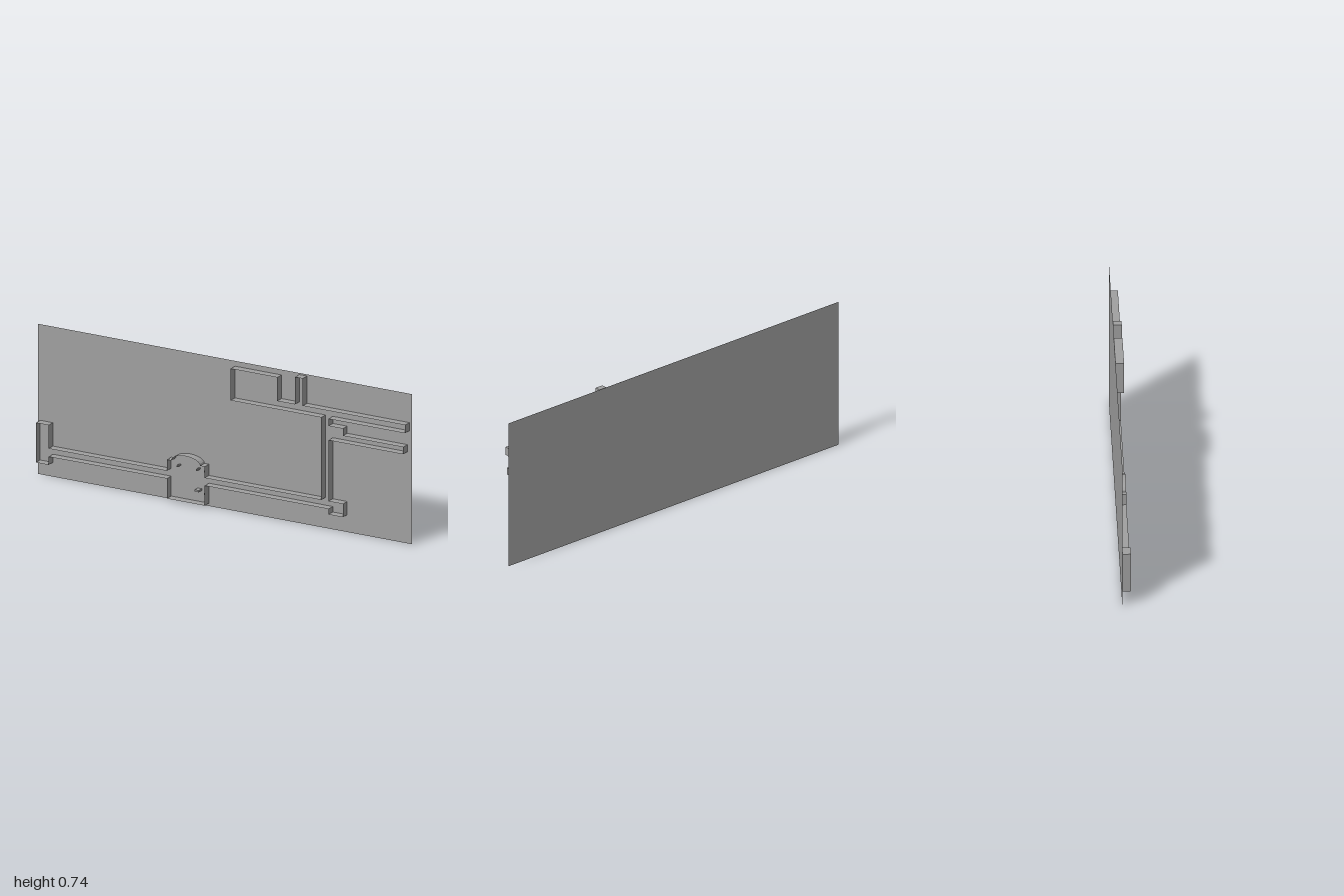
import * as THREE from 'three';

const DEPTH = 0.0205; // half the wall depth

// Walls standing out from the board along a closed outline
function ribbon(points) {
  const pos = [];
  points.forEach(([x0, y0], i) => {
    const [x1, y1] = points[(i + 1) % points.length];
    const a = [x0, y0, -DEPTH], b = [x1, y1, -DEPTH];
    const c = [x1, y1, DEPTH], d = [x0, y0, DEPTH];
    pos.push(...a, ...b, ...c, ...a, ...c, ...d);
  });
  const geo = new THREE.BufferGeometry();
  geo.setAttribute('position', new THREE.Float32BufferAttribute(pos, 3));
  geo.computeVertexNormals();
  return geo;
}

export function createModel() {
  const group = new THREE.Group();
  const grey = new THREE.MeshStandardMaterial({ color: 0xa0a0a0, side: THREE.DoubleSide, flatShading: true });
  grey.name = 'plain grey';
  const add = (name, geo, x = 0, y = 0, z = 0) => {
    const mesh = new THREE.Mesh(geo, grey);
    mesh.name = name;
    mesh.position.set(x, y, z);
    group.add(mesh);
  };

  // Flat backing sheet
  add('backBoard', new THREE.PlaneGeometry(2, 0.737), 0, 0.3685, -DEPTH);

  // Shallow dome over the hall, left to right
  const dome = [];
  for (let i = 0; i <= 12; i++) {
    const t = Math.PI * (1 - i / 12);
    dome.push([-0.187 + 0.077 * Math.cos(t), 0.205 + 0.034 * Math.sin(t)]);
  }

  // Rooms and corridors share one continuous wall
  add('corridorWalls', ribbon([
    // end room and left corridor, upper side
    [-0.92, 0.11], [-0.92, 0.07], [-0.988, 0.07], [-0.988, 0.265], [-0.92, 0.265], [-0.92, 0.15],
    // domed hall
    [-0.288, 0.15], [-0.288, 0.205], ...dome, [-0.086, 0.205], [-0.086, 0.15],
    // rising corridor and upper rooms
    [0.537, 0.15], [0.537, 0.555], [0.053, 0.555], [0.053, 0.711], [0.302, 0.711], [0.302, 0.595],
    [0.397, 0.595], [0.397, 0.729], [0.438, 0.729], [0.438, 0.595], [0.985, 0.595], [0.985, 0.555],
    // lower branch
    [0.576, 0.555], [0.576, 0.52], [0.653, 0.52], [0.653, 0.485], [0.975, 0.485], [0.975, 0.45], [0.576, 0.45],
    // corner room and return along the lower side
    [0.576, 0.15], [0.653, 0.15], [0.653, 0.085], [0.576, 0.085], [0.576, 0.112],
    [-0.086, 0.112], [-0.086, 0.014], [-0.288, 0.014], [-0.288, 0.112],
  ]));

  // Small posts and ledges inside the hall
  [[-0.24, 0.177, 0.007, 0.007], [-0.135, 0.177, 0.007, 0.007], [-0.135, 0.074, 0.022, 0.009],
    [-0.091, 0.067, 0.007, 0.009], [-0.091, 0.177, 0.007, 0.007]]
    .forEach(([x, y, w, h]) => add('hallPost', new THREE.BoxGeometry(w, h, 0.03), x, y, -DEPTH + 0.0155));

  return group;
}
